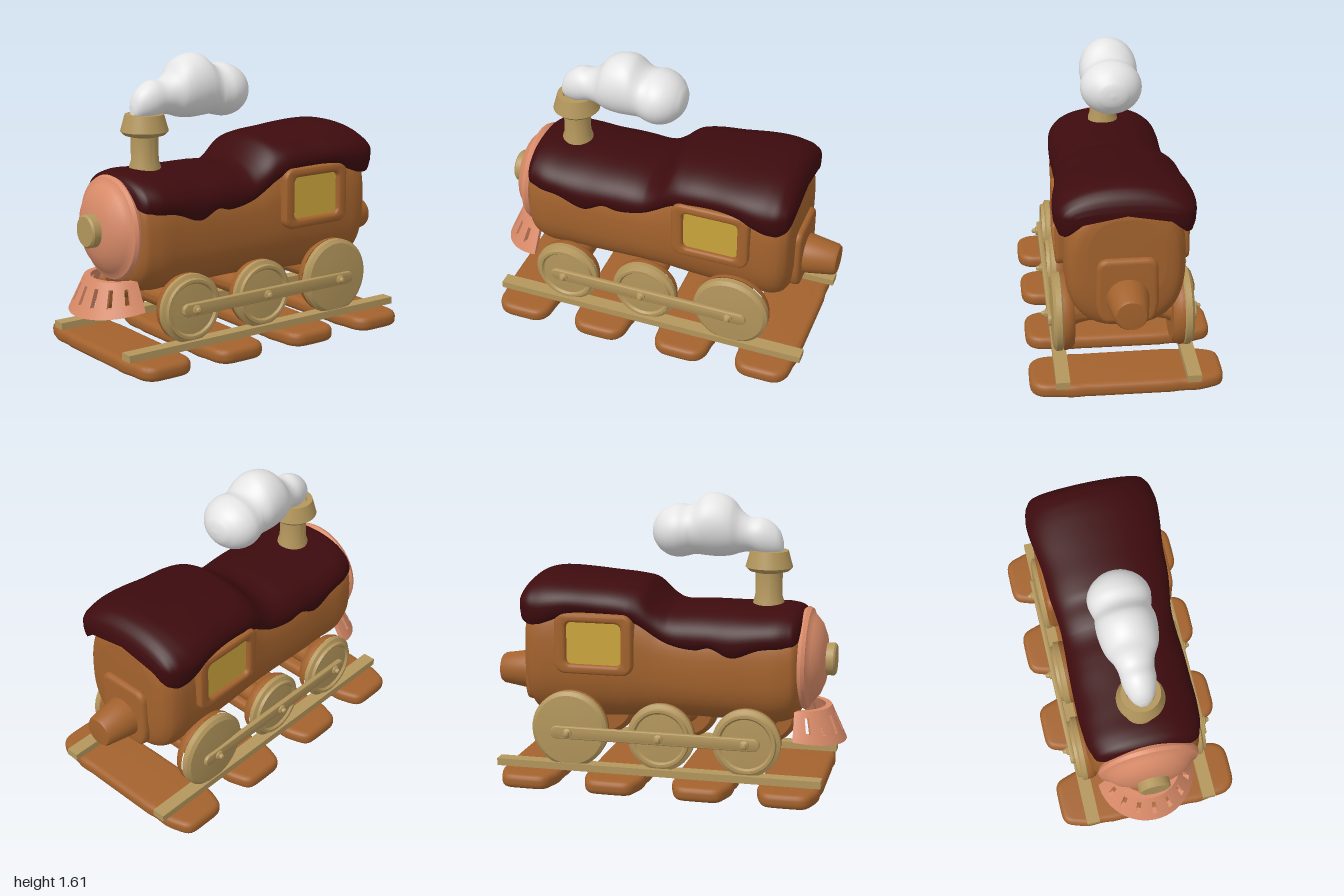
import * as THREE from 'three';
import { toCreasedNormals } from 'three/addons/utils/BufferGeometryUtils.js';

const material = (name, color) => {
  const m = new THREE.MeshStandardMaterial({ color });
  m.name = name;
  return m;
};

// Closed surface through cross-sections along x; each station is [x, ...parameters]
function loft(stations, profile, steps = 5) {
  const size = stations[0].length - 1;
  const spline = new THREE.CubicInterpolant(stations.map((s) => s[0]), stations.flatMap((s) => s.slice(1)), size);
  const xs = [];
  stations.forEach((s, i) => {
    const next = stations[i + 1];
    if (!next) xs.push(s[0]);
    else for (let k = 0; k < steps; k++) xs.push(s[0] + ((next[0] - s[0]) * k) / steps);
  });
  const pos = [], index = [];
  let n = 0;
  xs.forEach((x) => {
    const ring = profile(...Array.from(spline.evaluate(x)));
    n = ring.length;
    ring.forEach(([z, y]) => pos.push(x, y, z));
  });
  const last = (xs.length - 1) * n;
  for (let i = 0; i < xs.length - 1; i++) {
    for (let j = 0; j < n; j++) {
      const a = i * n + j, b = i * n + (j + 1) % n;
      index.push(a, a + n, b, b, a + n, b + n);
    }
  }
  for (const start of [0, last]) {
    const center = pos.length / 3;
    let y = 0, z = 0;
    for (let j = 0; j < n; j++) { y += pos[(start + j) * 3 + 1] / n; z += pos[(start + j) * 3 + 2] / n; }
    pos.push(pos[start * 3], y, z);
    for (let j = 0; j < n; j++) {
      const a = start + j, b = start + (j + 1) % n;
      if (start === 0) index.push(center, a, b); else index.push(center, b, a);
    }
  }
  const g = new THREE.BufferGeometry();
  g.setAttribute('position', new THREE.Float32BufferAttribute(pos, 3));
  g.setIndex(index);
  g.computeVertexNormals();
  return g;
}

// Point [z, y] on a superellipse
function superPoint(t, w, h, cy, n) {
  const c = Math.cos(t), s = Math.sin(t);
  return [w * Math.sign(c) * Math.abs(c) ** (2 / n), cy + h * Math.sign(s) * Math.abs(s) ** (2 / n)];
}
const oval = (n) => (bottom, top, w) => Array.from({ length: 48 }, (_, j) =>
  superPoint((j / 48) * Math.PI * 2, w, (top - bottom) / 2, (top + bottom) / 2, n));

const lathe = (points, sides = 48) => toCreasedNormals(
  new THREE.LatheGeometry(points.map(([r, h]) => new THREE.Vector2(r, h)), sides), 0.55);

function roundedRect(w, h, r, Type = THREE.Shape) {
  const s = new Type(), x = w / 2 - r, y = h / 2 - r;
  s.absarc(x, y, r, 0, Math.PI / 2);
  s.absarc(-x, y, r, Math.PI / 2, Math.PI);
  s.absarc(-x, -y, r, Math.PI, Math.PI * 1.5);
  s.absarc(x, -y, r, Math.PI * 1.5, Math.PI * 2);
  s.closePath();
  return s;
}
const extrude = (shape, depth, bevel) => toCreasedNormals(new THREE.ExtrudeGeometry(shape, {
  depth: depth - 2 * bevel, bevelEnabled: bevel > 0, bevelSize: bevel, bevelThickness: bevel,
  bevelOffset: -bevel, bevelSegments: 4, curveSegments: 10 }).translate(0, 0, bevel), 0.7);

export function createModel() {
  const root = new THREE.Group();
  root.name = 'toyTrain';
  const brown = material('warmBrown', 0xa3622d), maroon = material('darkMaroon', 0x3d0b0e);
  const tan = material('tan', 0xb3965c), pink = material('salmon', 0xd98b69);
  const white = material('smokeWhite', 0xe4e4e4), yellow = material('windowYellow', 0xcba53c);
  const add = (name, g, m, x = 0, y = 0, z = 0, parent = root) => {
    const mesh = new THREE.Mesh(g, m);
    mesh.name = name;
    mesh.position.set(x, y, z);
    parent.add(mesh);
    return mesh;
  };

  // Sleepers with softly rippled edges, and rails
  const outline = Array.from({ length: 96 }, (_, i) => {
    const [a, b] = superPoint((i / 96) * Math.PI * 2, 0.175, 0.52, 0, 5);
    return new THREE.Vector2(a * (0.98 + 0.02 * Math.sin(b * 38)), b);
  });
  const sleeper = extrude(new THREE.Shape(outline), 0.08, 0.03).rotateX(-Math.PI / 2);
  for (const x of [-0.735, -0.265, 0.23, 0.71]) add('sleeper', sleeper, brown, x);
  for (const s of [1, -1]) add('rail', new THREE.BoxGeometry(1.82, 0.04, 0.075), tan, 0, 0.105, s * 0.348);

  // Boiler and cab in one body: [x, bottom, top, half width]
  add('body', loft([
    [-0.77, 0.46, 0.95, 0.22], [-0.75, 0.42, 0.97, 0.275], [-0.7, 0.375, 0.985, 0.305], [-0.5, 0.36, 0.985, 0.312],
    [0, 0.36, 0.985, 0.305], [0.1, 0.35, 1.05, 0.31], [0.2, 0.34, 1.09, 0.315], [0.6, 0.33, 1.11, 0.32],
    [0.7, 0.34, 1.09, 0.315], [0.75, 0.38, 1.06, 0.29], [0.775, 0.45, 1.03, 0.25], [0.785, 0.52, 0.99, 0.2],
  ], oval(2.6)), brown);

  // Draped roof: [x, top, widest height, lower edge, half width]
  const roofSection = (top, mid, edge, w) => {
    const ring = [];
    for (let i = 0; i <= 32; i++) ring.push(superPoint((i / 32) * Math.PI, w, top - mid, mid, 2.1));
    const lip = [[0.99, (mid + edge) / 2], [0.95, edge + 0.006], [0.91, edge], [0.84, edge + 0.02], [0.6, mid + 0.01]];
    lip.forEach(([f, y]) => ring.push([-w * f, y]));
    ring.push([0, mid + 0.03]);
    lip.reverse().forEach(([f, y]) => ring.push([w * f, y]));
    return ring;
  };
  add('roof', loft([
    [-0.765, 0.97, 0.87, 0.85, 0.2], [-0.75, 0.99, 0.86, 0.83, 0.26], [-0.7, 1.01, 0.86, 0.815, 0.3],
    [-0.55, 1.01, 0.85, 0.8, 0.325], [-0.4, 1.01, 0.83, 0.75, 0.327], [-0.28, 1.01, 0.84, 0.8, 0.325],
    [-0.2, 1.01, 0.84, 0.785, 0.322], [-0.05, 1.01, 0.85, 0.81, 0.315], [0.02, 1.05, 0.89, 0.845, 0.315],
    [0.1, 1.12, 0.95, 0.9, 0.325], [0.17, 1.135, 0.98, 0.935, 0.335], [0.35, 1.15, 1.0, 0.965, 0.345],
    [0.5, 1.16, 1.01, 0.96, 0.365], [0.6, 1.165, 1.0, 0.92, 0.375], [0.68, 1.16, 0.99, 0.895, 0.37],
    [0.75, 1.13, 1.0, 0.9, 0.345], [0.785, 1.08, 1.01, 0.94, 0.3], [0.795, 1.04, 1.01, 0.98, 0.25],
  ], roofSection), maroon);

  // Domed boiler front with hub
  add('boilerFront', lathe([[0.24, 0], [0.275, 0.01], [0.285, 0.03], [0.275, 0.05], [0.25, 0.06], [0.235, 0.075],
    [0.2, 0.105], [0.14, 0.13], [0.07, 0.143], [0, 0.145]]).rotateZ(Math.PI / 2), pink, -0.745, 0.71);
  add('frontHub', lathe([[0.09, 0], [0.09, 0.06], [0.08, 0.07], [0, 0.07]]).rotateZ(Math.PI / 2), tan, -0.865, 0.71);

  // Slotted guard: blocks bent around a flared arc
  const guard = new THREE.Group();
  guard.name = 'frontGuard';
  root.add(guard);
  const guardPart = (name, a0, a1, v0, v1, segments) => {
    const g = new THREE.BoxGeometry(1, 1, 1, segments, 3, 1), p = g.attributes.position;
    for (let i = 0; i < p.count; i++) {
      const a = a0 + (p.getX(i) + 0.5) * (a1 - a0), v = v0 + (p.getY(i) + 0.5) * (v1 - v0);
      const r = 0.28 - 0.085 * v + (p.getZ(i) - 0.5) * 0.035;
      const low = 0.26 + 0.045 * (1 - Math.cos(a));
      p.setXYZ(i, -0.72 - r * Math.cos(a), low + (0.45 - low) * v, r * Math.sin(a));
    }
    add(name, toCreasedNormals(g, 0.6), pink, 0, 0, 0, guard);
  };
  const span = 1.5, bars = 8;
  guardPart('guardLowerBand', -span, span, 0, 0.28, 40);
  guardPart('guardUpperBand', -span, span, 0.8, 1, 40);
  for (let i = 0; i < bars; i++) {
    const a = -span + 0.14 + (i * (2 * span - 0.28)) / (bars - 1);
    guardPart('guardBar', a - 0.14, a + 0.14, 0.28, 0.8, 4);
  }

  // Rear plate and coupling cone
  const plate = new THREE.Shape();
  plate.moveTo(-0.11, -0.18);
  plate.quadraticCurveTo(-0.16, -0.17, -0.165, -0.05);
  plate.lineTo(-0.16, 0.13);
  plate.quadraticCurveTo(-0.155, 0.19, -0.1, 0.19);
  plate.lineTo(0.1, 0.19);
  plate.quadraticCurveTo(0.155, 0.19, 0.16, 0.13);
  plate.lineTo(0.165, -0.05);
  plate.quadraticCurveTo(0.16, -0.17, 0.11, -0.18);
  plate.closePath();
  add('rearPlate', extrude(plate, 0.07, 0.025).rotateY(Math.PI / 2), brown, 0.745, 0.59);
  add('rearCoupling', lathe([[0.115, 0], [0.11, 0.04], [0.088, 0.18], [0.078, 0.195], [0, 0.2]])
    .rotateZ(-Math.PI / 2), brown, 0.8, 0.555);

  // Chimney and smoke: [x, bottom, top, half width]
  add('chimney', lathe([[0.09, -0.04], [0.085, 0.02], [0.075, 0.05], [0.074, 0.18], [0.11, 0.19], [0.13, 0.21],
    [0.105, 0.3], [0.075, 0.3], [0.07, 0.27], [0, 0.27]]), tan, -0.553, 1);
  add('smoke', loft([
    [-0.63, 1.29, 1.35, 0.02], [-0.615, 1.28, 1.395, 0.045], [-0.58, 1.27, 1.44, 0.07], [-0.52, 1.27, 1.475, 0.09],
    [-0.45, 1.29, 1.477, 0.095], [-0.4, 1.283, 1.51, 0.11], [-0.35, 1.267, 1.57, 0.14], [-0.27, 1.258, 1.605, 0.158],
    [-0.2, 1.262, 1.598, 0.16], [-0.14, 1.265, 1.55, 0.153], [-0.11, 1.257, 1.537, 0.16], [-0.05, 1.247, 1.542, 0.17],
    [0.02, 1.265, 1.52, 0.147], [0.07, 1.31, 1.475, 0.095], [0.09, 1.35, 1.435, 0.05], [0.096, 1.385, 1.4, 0.008],
  ], oval(2)), white);

  // Axles
  const wheels = [[-0.5, 0.3, 0.187], [-0.025, 0.3, 0.187], [0.49, 0.315, 0.215]];
  const axle = lathe([[0.1, -0.29], [0.07, -0.24], [0.058, -0.18], [0.058, 0.18], [0.07, 0.24], [0.1, 0.29]])
    .rotateX(Math.PI / 2);
  for (const [x, y] of wheels) add('axle', axle, brown, x, y);

  // Window, wheels and rod on each side, built outward along +z and turned for the other side
  const frameShape = roundedRect(0.44, 0.34, 0.06);
  frameShape.holes.push(roundedRect(0.31, 0.235, 0.03, THREE.Path));
  for (const s of [1, -1]) {
    const side = new THREE.Group();
    side.name = s > 0 ? 'leftSide' : 'rightSide';
    side.rotation.y = s > 0 ? 0 : Math.PI;
    root.add(side);
    add('windowFrame', extrude(frameShape, 0.095, 0.018), brown, s * 0.355, 0.8, 0.262, side);
    add('windowGlass', extrude(roundedRect(0.36, 0.28, 0.04), 0.008, 0), yellow, s * 0.355, 0.8, 0.323, side);
    wheels.forEach(([x, y, r], i) => {
      add('wheelBack', lathe([[0, 0], [r - 0.03, 0], [r - 0.012, 0.015], [r - 0.002, 0.04], [r - 0.002, 0.06]])
        .rotateX(Math.PI / 2), brown, s * x, y, 0.265, side);
      const face = i < 2
        ? [[r - 0.02, 0], [r, 0.01], [r, 0.035], [r - 0.02, 0.045], [r - 0.025, 0.062], [r - 0.04, 0.062], [r - 0.05, 0.05], [0, 0.058]]
        : [[r - 0.02, 0], [r, 0.015], [r, 0.045], [r - 0.02, 0.06], [r * 0.5, 0.067], [0, 0.07]];
      add('wheel', lathe(face).rotateX(Math.PI / 2), tan, s * x, y, 0.318, side);
      add('rodBolt', lathe([[0.026, 0], [0.026, 0.014], [0.016, 0.02], [0.012, 0.036], [0, 0.04]], 20)
        .rotateX(Math.PI / 2), tan, s * x, 0.305, 0.398, side);
    });
    add('connectingRod', extrude(roundedRect(1.17, 0.07, 0.034), 0.028, 0.006), tan, s * 0.005, 0.305, 0.376, side);
  }
  return root;
}
